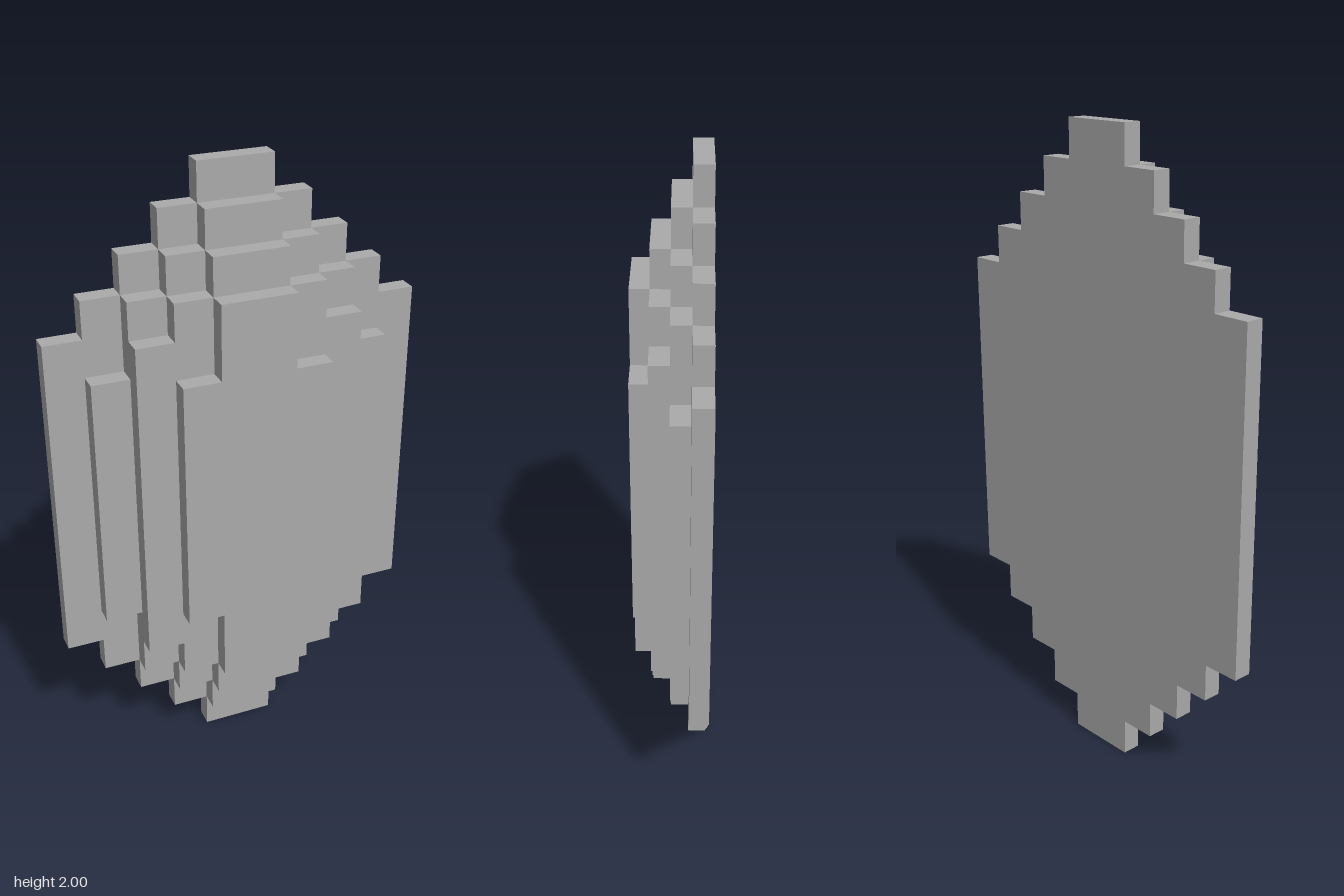
import * as THREE from 'three';

const U = 2 / 17;       // grid step of the outline
const DEPTH = U / 2;    // thickness of one layer

// Half-heights (in steps) of each column, from the centre outwards, back layer first
const LAYERS = [
  { name: 'backPlate', columns: [8.5, 7.5, 6.5, 5.5, 4.5] },
  { name: 'lowerFacet', columns: [7.5, 6.5, 5.5, 3.5] },
  { name: 'upperFacet', columns: [6.5, 5.5, 4.5] },
  { name: 'frontFacet', columns: [5.5, 3.5] },
];

// Stepped outline, mirrored left to right and top to bottom
function steppedShape(columns) {
  const quarter = [];
  columns.forEach((h, i) => {
    quarter.push([i * U, h * U], [(i + 1) * U, h * U]);
  });
  quarter.shift(); // the centre point lies on a straight edge
  const flip = (sx, sy) => quarter.map(([x, y]) => new THREE.Vector2(x * sx, y * sy));
  return new THREE.Shape([
    ...flip(1, 1),
    ...flip(1, -1).reverse(),
    ...flip(-1, -1),
    ...flip(-1, 1).reverse(),
  ]);
}

export function createModel() {
  const model = new THREE.Group();
  model.name = 'steppedGem';
  const grey = new THREE.MeshStandardMaterial({ color: 0xaaaaaa });
  grey.name = 'grey';

  // Stack the layers from back to front
  LAYERS.forEach(({ name, columns }, i) => {
    const geometry = new THREE.ExtrudeGeometry(steppedShape(columns), {
      depth: DEPTH,
      bevelEnabled: false,
    });
    const layer = new THREE.Mesh(geometry, grey);
    layer.name = name;
    layer.position.set(0, 1, (i - 2) * DEPTH);
    model.add(layer);
  });
  return model;
}
